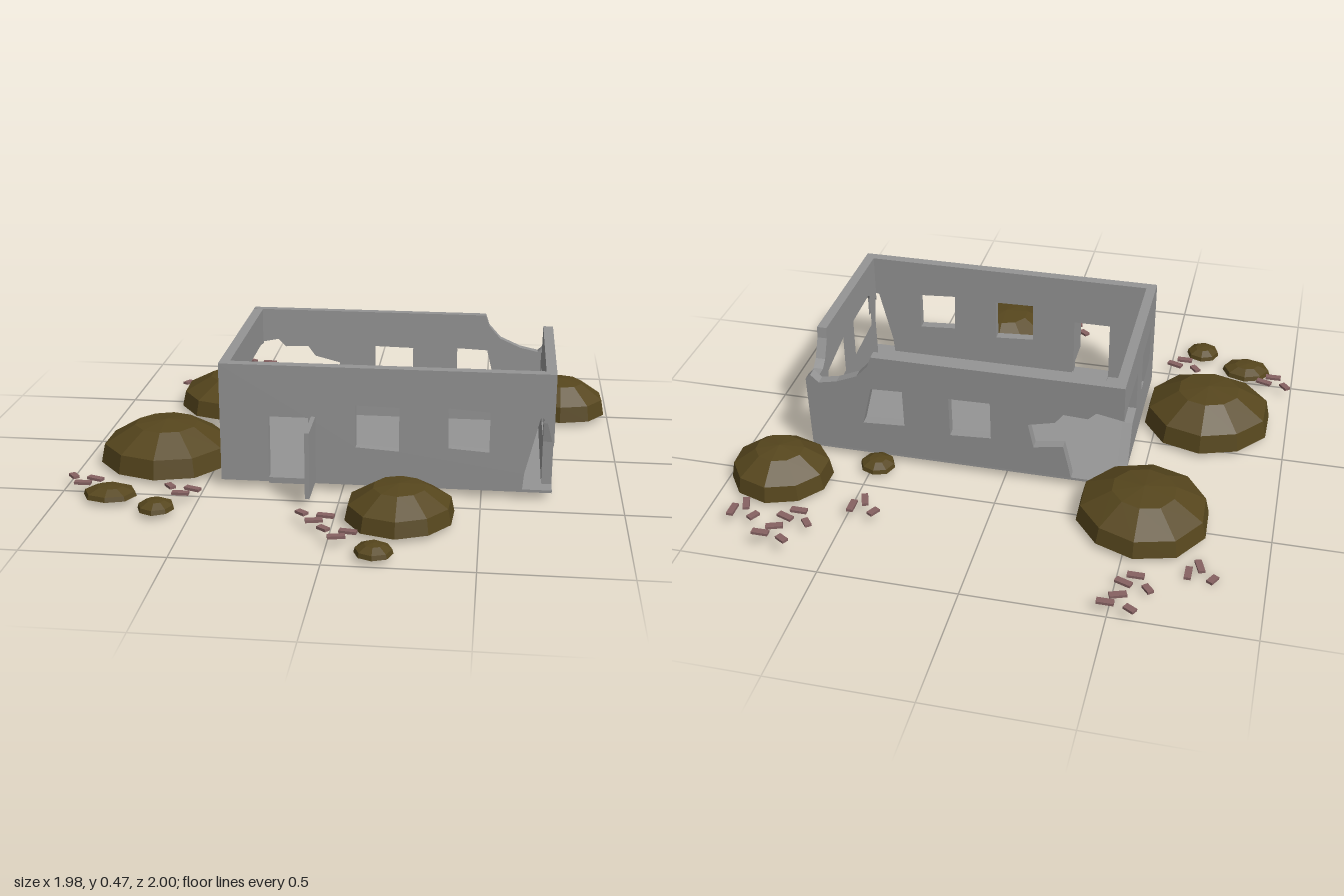
import * as THREE from 'three';

const grey = new THREE.MeshStandardMaterial({ color: 0x949494, flatShading: true });
const earth = new THREE.MeshStandardMaterial({ color: 0x56461d, flatShading: true });
const clay = new THREE.MeshStandardMaterial({ color: 0x866262, flatShading: true });

const T = 0.037;            // wall thickness
const Y0 = 0.04, Y1 = 0.472; // wall foot and top
const L = -0.44, R = 0.75, B = -0.35, F = 0.4; // house plan
const SB = B + T - 0.012;   // back end of the side walls, tucked into the back wall

function mesh(name, geometry, material) {
  const m = new THREE.Mesh(geometry, material);
  m.name = name;
  return m;
}

function box(name, material, [x0, x1], [y0, y1], [z0, z1]) {
  const m = mesh(name, new THREE.BoxGeometry(x1 - x0, y1 - y0, z1 - z0), material);
  m.position.set((x0 + x1) / 2, (y0 + y1) / 2, (z0 + z1) / 2);
  return m;
}

// Wall panel from an outline with openings; side walls take (z, y) points
function wall(name, outline, holes, at, side = false) {
  const pts = list => list.map(([u, y]) => new THREE.Vector2(side ? -u : u, y));
  const shape = new THREE.Shape(pts(outline));
  for (const h of holes) shape.holes.push(new THREE.Path(pts(h)));
  const m = mesh(name, new THREE.ExtrudeGeometry(shape, { depth: T, bevelEnabled: false }), grey);
  if (side) {
    m.rotation.y = Math.PI / 2;
    m.position.x = at;
  } else m.position.z = at;
  return m;
}

// Low mound of earth: steep rim, sloping shoulder, shallow crown
function mound(x, z, rx, rz, top, sides, seed) {
  const y0 = 0.02, h = top - y0;
  const profile = [[0, 0], [1, 0], [0.94, 0.46], [0.48, 0.9], [0, 1]];
  const g = new THREE.LatheGeometry(profile.map(p => new THREE.Vector2(...p)), sides);
  const pos = g.attributes.position;
  for (let i = 0; i < pos.count; i++) {
    const px = pos.getX(i), pz = pos.getZ(i), a = Math.atan2(pz, px);
    const k = 1 + 0.02 * Math.sin(2 * a + seed) + 0.015 * Math.cos(3 * a + 2 * seed);
    pos.setXYZ(i, px * k * rx, pos.getY(i) * h, pz * k * rz);
  }
  g.computeVertexNormals();
  const m = mesh('earthMound', g, earth);
  m.position.set(x, y0, z);
  return m;
}

// Three scattered bricks sharing one layout, turned by a common angle
function brickCluster(x, z, y, turn) {
  const g = new THREE.Group();
  g.name = 'brickCluster';
  const layout = [[-0.085, -0.016, 0.042, -50], [0, 0, 0.06, -20], [-0.035, 0.043, 0.06, 0]];
  for (const [dx, dz, len, angle] of layout) {
    const b = mesh('brick', new THREE.BoxGeometry(len, 0.01, 0.024), clay);
    b.position.set(dx, 0, dz);
    b.rotation.y = THREE.MathUtils.degToRad(angle + turn);
    g.add(b);
  }
  g.position.set(x, y, z);
  return g;
}

function createHouse() {
  const house = new THREE.Group();
  house.name = 'ruinedHouse';
  const window1 = [[0.05, 0.175], [0.205, 0.165], [0.205, 0.33], [0.05, 0.333]];

  house.add(box('floor', grey, [L, R], [0.03, Y0], [B + 0.012, F]));
  house.add(box('doorStep', grey, [-0.265, -0.115], [0.024, 0.046], [0.27, F]));

  // Front wall: doorway, two windows, broken lower corner
  house.add(wall('frontWall', [
    [L, Y0], [-0.265, Y0], [-0.265, 0.28], [-0.12, 0.28], [-0.12, Y0],
    [0.645, Y0], [0.65, 0.1], [0.7, 0.31], [0.72, 0.31], [R, 0.2], [R, Y1], [L, Y1],
  ], [window1, [[0.38, 0.185], [0.525, 0.175], [0.525, 0.325], [0.375, 0.335]]], F - T));

  // Back wall, leaning out: breach at one end, notched top at the other
  const back = wall('backWall', [
    [-0.25, Y0], [R, Y0], [R, 0.34], [0.73, 0.36], [0.7, 0.33], [0.63, 0.345], [0.55, 0.38],
    [0.505, 0.43], [0.49, Y1],
    [L, Y1], [L, 0.33], [-0.34, 0.35], [-0.31, 0.32], [-0.22, 0.325], [-0.19, 0.285],
    [-0.09, 0.26], [-0.11, 0.16], [-0.22, 0.18], [-0.24, 0.09],
  ], [window1, [[0.38, 0.18], [0.54, 0.17], [0.5, 0.33], [0.38, 0.335]]], B + 0.012);
  back.rotation.x = -0.045;
  house.add(back);

  // Side wall at +x: two windows, notched top and broken lower corner
  house.add(wall('leftWall', [
    [SB, Y0], [0.34, Y0], [0.335, 0.2], [0.35, 0.3], [F - T, 0.28], [F - T, Y1],
    [-0.2, Y1], [-0.205, 0.43], [-0.24, 0.36], [-0.27, 0.335], [SB, 0.335],
  ], [
    [[0.08, 0.185], [0.285, 0.205], [0.28, 0.35], [0.08, 0.34]],
    [[-0.245, 0.175], [-0.04, 0.185], [-0.04, 0.335], [-0.22, 0.295]],
  ], R - T, true));

  // Side wall at -x: one window, the other merged with the breach
  house.add(wall('rightWall', [
    [-0.2, Y0], [F - T, Y0], [F - T, Y1], [SB, Y1], [SB, 0.33], [-0.25, 0.34],
    [-0.04, 0.34], [-0.04, 0.18], [-0.13, 0.17],
  ], [[[0.08, 0.18], [0.285, 0.2], [0.285, 0.35], [0.08, 0.34]]], L, true));

  // Open door leaf
  house.add(box('door', grey, [-0.11, -0.094], [0.04, 0.285], [F - 0.01, 0.57]));
  return house;
}

export function createModel() {
  const model = new THREE.Group();
  model.name = 'ruinedHouseScene';
  model.add(createHouse());

  const mounds = [
    [-0.54, -0.475, 0.243, 0.242, 0.155, 10], [-0.69, 0.18, 0.243, 0.242, 0.175, 10],
    [0.225, 0.63, 0.193, 0.193, 0.142, 10], [0.803, -0.53, 0.192, 0.172, 0.155, 10],
    [0.475, -0.395, 0.066, 0.065, 0.055, 8], [-0.81, 0.56, 0.095, 0.078, 0.058, 8],
    [-0.62, 0.66, 0.066, 0.065, 0.055, 8], [0.165, 0.93, 0.066, 0.065, 0.055, 8],
  ];
  mounds.forEach((m, i) => model.add(mound(...m, i * 1.7)));

  const clusters = [
    [-0.49, -0.97, 0.04, 20], [-0.53, -0.84, 0.02, 0], [-0.735, -0.73, 0.006, 110],
    [0.73, -0.92, 0.07, 20], [0.69, -0.79, 0.045, 0], [0.885, -0.8, 0.05, 110],
    [0.48, -0.68, 0.045, 110], [-0.89, 0.465, 0.04, 0], [-0.52, 0.52, 0.04, 0],
    [-0.02, 0.7, 0.04, 12], [0.07, 0.82, 0.04, 12],
  ];
  for (const c of clusters) model.add(brickCluster(...c));
  return model;
}
